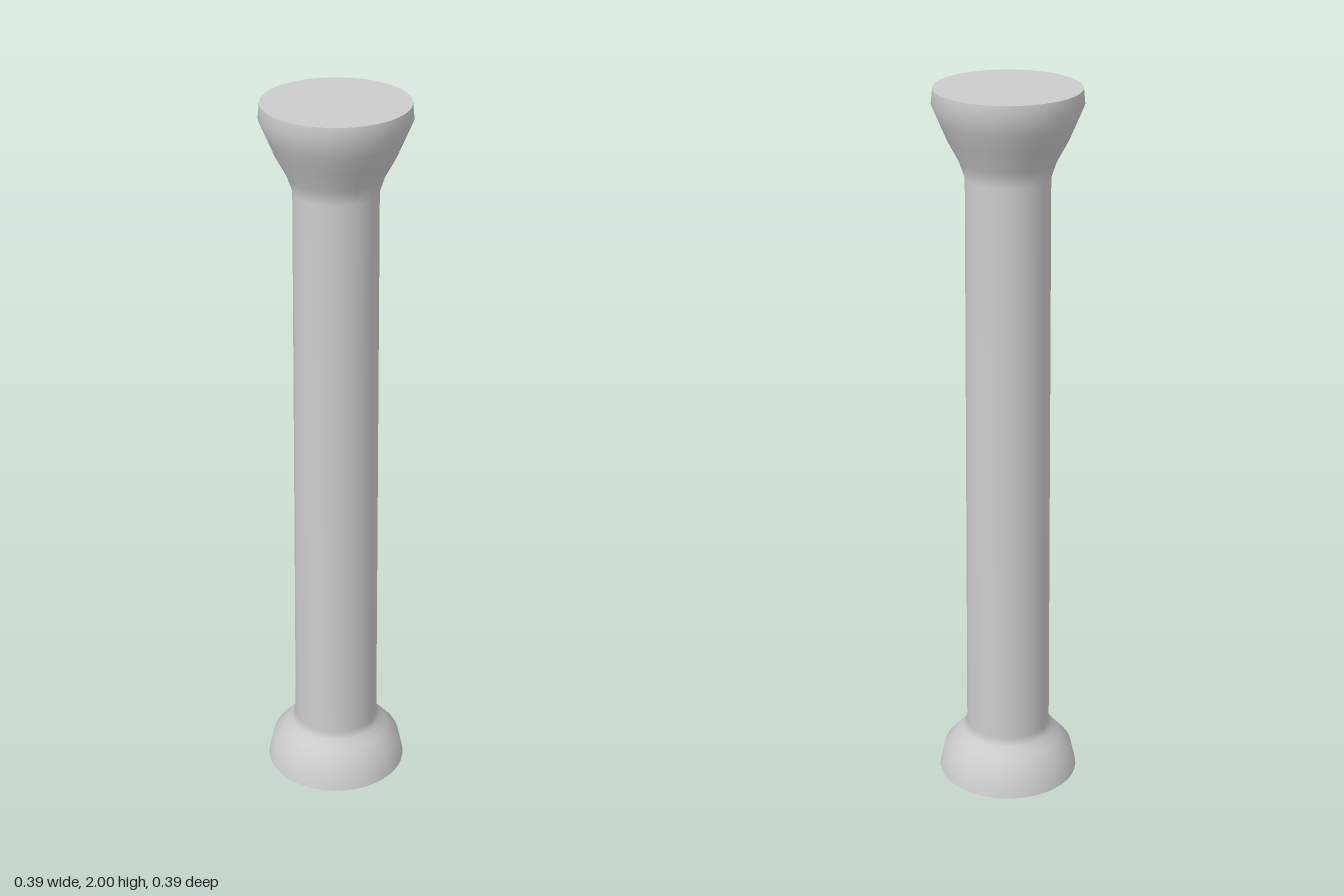
import * as THREE from 'three';

export function createModel() {
  const group = new THREE.Group();
  group.name = 'column';
  const stone = new THREE.MeshStandardMaterial({ color: 0xcccccc });
  stone.name = 'pale grey stone';
  const sides = 48;

  // Turned outline: flared foot, slightly tapering shaft, flared capital
  const profile = [
    [0.197, 0], [0.183, 0.065], [0.147, 0.107], [0.128, 0.13], [0.118, 0.15],
    [0.112, 1.765], [0.127, 1.81], [0.158, 1.868], [0.178, 1.915], [0.197, 1.96], [0.193, 2],
  ].map(([r, y]) => new THREE.Vector2(r, y));
  const body = new THREE.Mesh(new THREE.LatheGeometry(profile, sides), stone);
  body.name = 'columnBody';
  group.add(body);

  // Flat end faces
  const addCap = (name, radius, y, tilt) => {
    const cap = new THREE.Mesh(new THREE.CircleGeometry(radius, sides), stone);
    cap.name = name;
    cap.position.y = y;
    cap.rotation.x = tilt;
    group.add(cap);
  };
  addCap('topFace', 0.193, 2, -Math.PI / 2);
  addCap('bottomFace', 0.197, 0, Math.PI / 2);

  return group;
}
